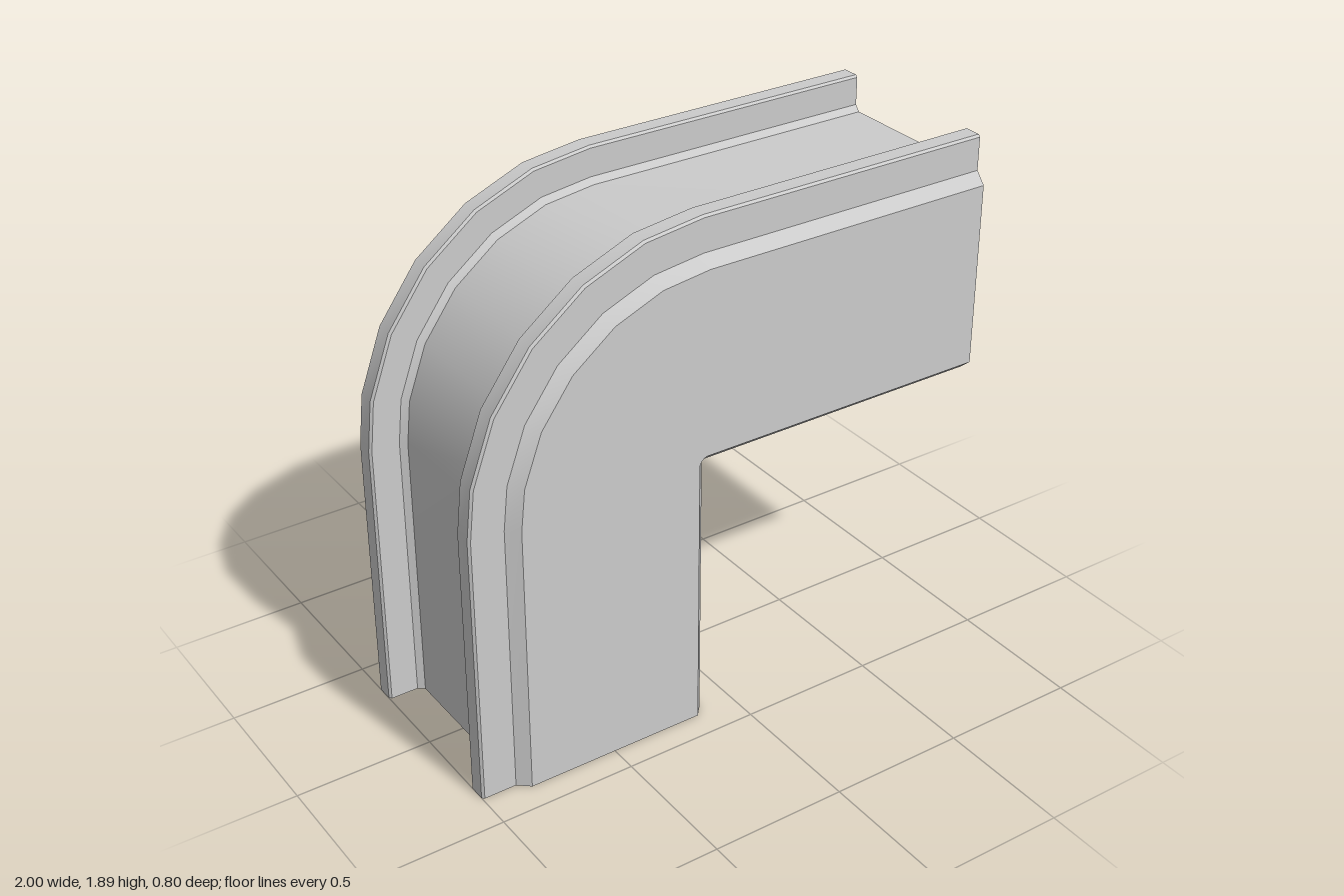
import * as THREE from 'three';
import { toCreasedNormals } from 'three/addons/utils/BufferGeometryUtils.js';

// Cross-section as [z, radius from the bend centre], half of it
const HALF = [
  [0.27, 0.748], [0.288, 0.77], // channel floor fillet
  [0.288, 0.872], [0.296, 0.88], [0.356, 0.88], [0.364, 0.872], // rim
  [0.364, 0.752], [0.4, 0.71], // shoulder
  [0.4, 0.035], [0.36, 0], // inner chamfer
];
const PROFILE = [...HALF, ...HALF.map(([z, r]) => [-z, r]).reverse()];
const BEND = { x: -0.12, y: 1.015 };

// Stations along the path: straight leg, faceted bend, straight arm
function stations() {
  const list = [{ x: BEND.x, y: 0, angle: 0 }];
  for (const angle of [0, 12.2, 28, 44, 60, 75.5, 90]) list.push({ ...BEND, angle });
  list.push({ x: 1, y: BEND.y, angle: 90 });
  return list;
}

function sweep() {
  const rings = stations().map(({ x, y, angle }) => {
    const a = THREE.MathUtils.degToRad(angle);
    return PROFILE.map(([z, r]) => new THREE.Vector3(x - r * Math.cos(a), y + r * Math.sin(a), z));
  });
  const positions = [];
  const triangle = (a, b, c) => {
    if (new THREE.Triangle(a, b, c).getArea() < 1e-8) return;
    for (const p of [a, b, c]) positions.push(p.x, p.y, p.z);
  };

  // Skin between neighbouring rings
  const n = PROFILE.length;
  for (let i = 0; i < rings.length - 1; i++) {
    for (let j = 0; j < n; j++) {
      const k = (j + 1) % n;
      triangle(rings[i][j], rings[i][k], rings[i + 1][k]);
      triangle(rings[i][j], rings[i + 1][k], rings[i + 1][j]);
    }
  }

  // End caps
  const outline = PROFILE.map(([z, r]) => new THREE.Vector2(-z, r));
  const first = rings[0];
  const last = rings[rings.length - 1];
  for (const [a, b, c] of THREE.ShapeUtils.triangulateShape(outline, [])) {
    triangle(last[a], last[b], last[c]);
    triangle(first[a], first[c], first[b]);
  }

  const geometry = new THREE.BufferGeometry();
  geometry.setAttribute('position', new THREE.Float32BufferAttribute(positions, 3));
  return toCreasedNormals(geometry, THREE.MathUtils.degToRad(30));
}

export function createModel() {
  const group = new THREE.Group();
  group.name = 'elbowChannel';
  const body = new THREE.Mesh(sweep(), new THREE.MeshStandardMaterial({ color: 0xcccccc }));
  body.name = 'channelBody';
  group.add(body);
  return group;
}
